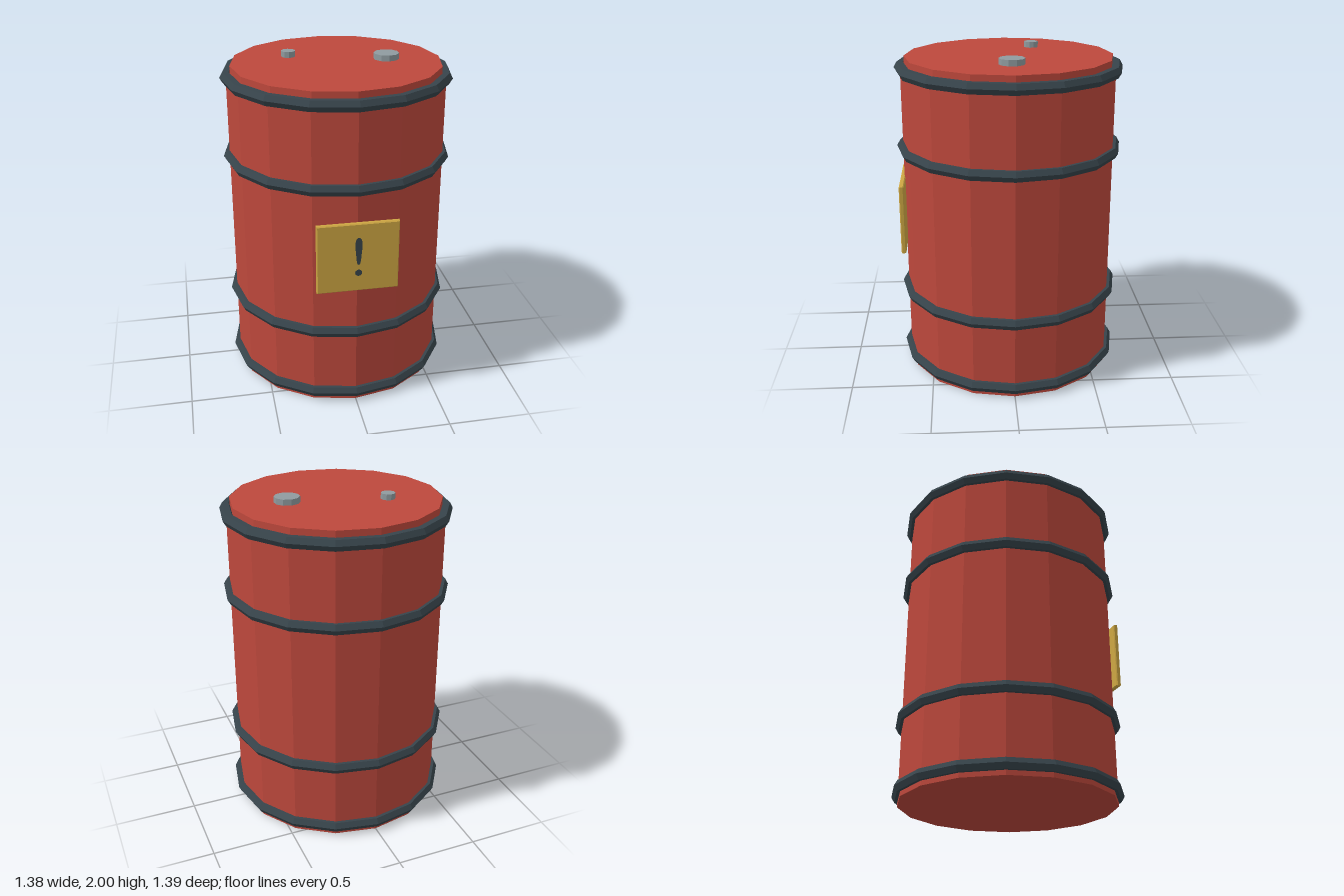
import * as THREE from 'three';

const flat = (name, color) => new THREE.MeshStandardMaterial({ name, color, flatShading: true });

export function createModel() {
  const red = flat('barrel red', 0xbd483c);
  const dark = flat('dark steel', 0x37444b);
  const yellow = flat('sign yellow', 0xcda643);
  const grey = flat('cap grey', 0x8f9b9f);

  const barrel = new THREE.Group();
  barrel.name = 'barrel';

  const add = (name, geometry, material, x = 0, y = 0, z = 0) => {
    const mesh = new THREE.Mesh(geometry, material);
    mesh.name = name;
    mesh.position.set(x, y, z);
    barrel.add(mesh);
    return mesh;
  };

  // Upright prism standing between two heights
  const drum = (name, radius, sides, y0, y1, material, x = 0, z = 0) =>
    add(name, new THREE.CylinderGeometry(radius, radius, y1 - y0, sides), material, x, (y0 + y1) / 2, z);

  // Sixteen-sided body and the slightly narrower lid
  drum('body', 0.655, 16, 0, 1.9, red);
  drum('lid', 0.63, 16, 1.86, 1.965, red);

  // Four hoops with a hexagonal section
  const hoop = new THREE.TorusGeometry(0.655, 0.037, 6, 16).rotateX(Math.PI / 2);
  [0.06, 0.495, 1.412, 1.897].forEach((y, i) => add(`hoop${i + 1}`, hoop, dark, 0, y, 0));

  // Filler and vent caps on the lid
  drum('fillerCap', 0.077, 10, 1.955, 2, grey, 0.305, 0);
  drum('ventCap', 0.043, 10, 1.955, 2, grey, -0.265, -0.155);

  // Warning sign with a small bevel
  const bevel = 0.006, w = 0.24 - bevel, h = 0.215 - bevel;
  const plate = new THREE.Shape([
    new THREE.Vector2(-w, -h), new THREE.Vector2(w, -h),
    new THREE.Vector2(w, h), new THREE.Vector2(-w, h),
  ]);
  add('signPlate', new THREE.ExtrudeGeometry(plate, {
    depth: 0.018, bevelSize: bevel, bevelThickness: bevel, bevelSegments: 1,
  }), yellow, 0, 1, 0.654);

  // Exclamation mark: tapered stroke and dot
  const stroke = new THREE.Shape();
  stroke.moveTo(0, 0.965);
  stroke.bezierCurveTo(0.014, 0.965, 0.012, 1.0, 0.019, 1.06);
  stroke.bezierCurveTo(0.025, 1.11, 0.016, 1.138, 0, 1.138);
  stroke.bezierCurveTo(-0.016, 1.138, -0.025, 1.11, -0.019, 1.06);
  stroke.bezierCurveTo(-0.012, 1.0, -0.014, 0.965, 0, 0.965);
  add('warningStroke', new THREE.ShapeGeometry(stroke, 6), dark, 0, 0, 0.696);
  add('warningDot', new THREE.CircleGeometry(0.021, 10), dark, 0, 0.914, 0.696);

  return barrel;
}
